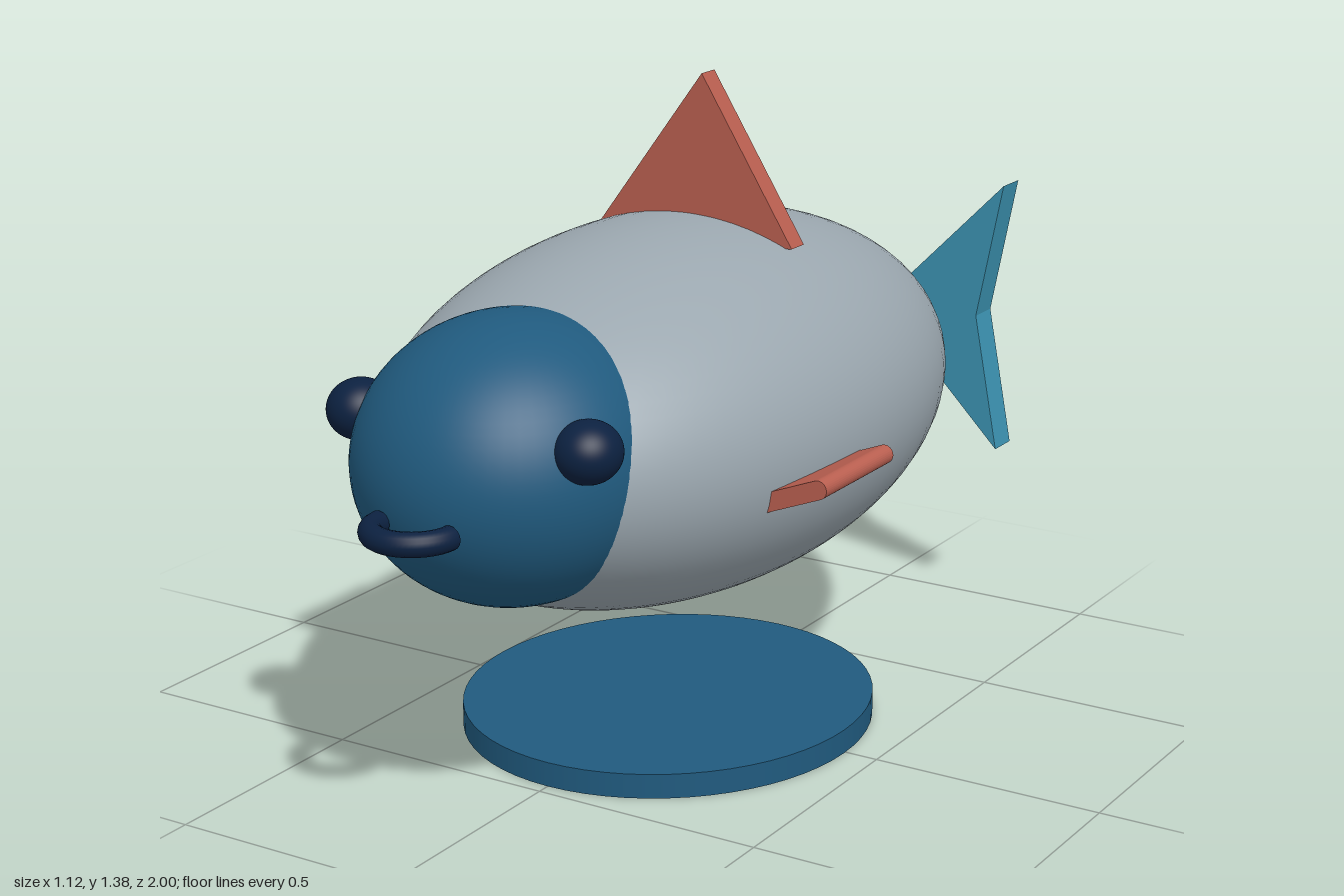
import * as THREE from 'three';

const material = (name, color) => {
  const m = new THREE.MeshStandardMaterial({ color });
  m.name = name;
  return m;
};

export function createModel() {
  const grey = material('bodyGrey', 0x9ba7af);
  const blue = material('headBlue', 0x205a7e);
  const navy = material('darkNavy', 0x0c2140);
  const coral = material('finCoral', 0xb95f50);
  const teal = material('tailTeal', 0x3b92b0);

  const model = new THREE.Group();
  const add = (name, geometry, mat, x = 0, y = 0, z = 0) => {
    const mesh = new THREE.Mesh(geometry, mat);
    mesh.name = name;
    mesh.position.set(x, y, z);
    model.add(mesh);
    return mesh;
  };
  const ellipsoid = (rx, ry, rz) => new THREE.SphereGeometry(1, 64, 40).scale(rx, ry, rz);
  // flat outline in x and y, given thickness from z0 to z1
  const plate = (shape, z0, z1) =>
    new THREE.ExtrudeGeometry(shape, { depth: z1 - z0, bevelEnabled: false, curveSegments: 8 }).translate(0, 0, z0);
  const polygon = (points) => new THREE.Shape(points.map(([x, y]) => new THREE.Vector2(x, y)));

  // Body and head
  add('body', ellipsoid(0.487, 0.382, 0.813), grey, 0, 0.7, 0);
  add('head', ellipsoid(0.307, 0.287, 0.335), blue, 0, 0.728, 0.57);

  // Mouth: half ring lying flat, bulging forward
  add('mouth', new THREE.TorusGeometry(0.081, 0.024, 16, 32, Math.PI).rotateX(Math.PI / 2), navy, 0, 0.672, 0.895);

  // Dorsal fin, set across the back
  add('dorsalFin', plate(polygon([[-0.25, 0.995], [0.245, 1.035], [0.03, 1.375]]), -0.12, -0.07), coral);

  // Tail fin: notched arrowhead behind the body
  add('tailFin', plate(polygon([[0, 0.7], [0.305, 0.39], [0.245, 0.7], [0.305, 1.01]]), -1, -0.925), teal);

  // Eyes and side fins, mirrored
  for (const side of [1, -1]) {
    const label = side > 0 ? 'left' : 'right';
    add(label + 'Eye', ellipsoid(0.066, 0.061, 0.069), navy, side * 0.262, 0.817, 0.708);

    // slab with a rounded outer edge, tilted up and outwards
    const r = 0.019;
    const outline = new THREE.Shape();
    outline.moveTo(-0.24, -r);
    outline.lineTo(0, -r);
    outline.absarc(0, 0, r, -Math.PI / 2, Math.PI / 2, false);
    outline.lineTo(-0.24, r);
    const fin = plate(outline, -0.135, 0.135).rotateZ(0.38);
    if (side < 0) fin.rotateY(Math.PI);
    add(label + 'SideFin', fin, coral, side * 0.541, 0.688, 0.205);
  }

  // Base disc, slightly longer than wide
  add('base', new THREE.CylinderGeometry(1, 1, 0.052, 64).scale(0.427, 1, 0.463), blue, 0, 0.026, 0.008);

  return model;
}
